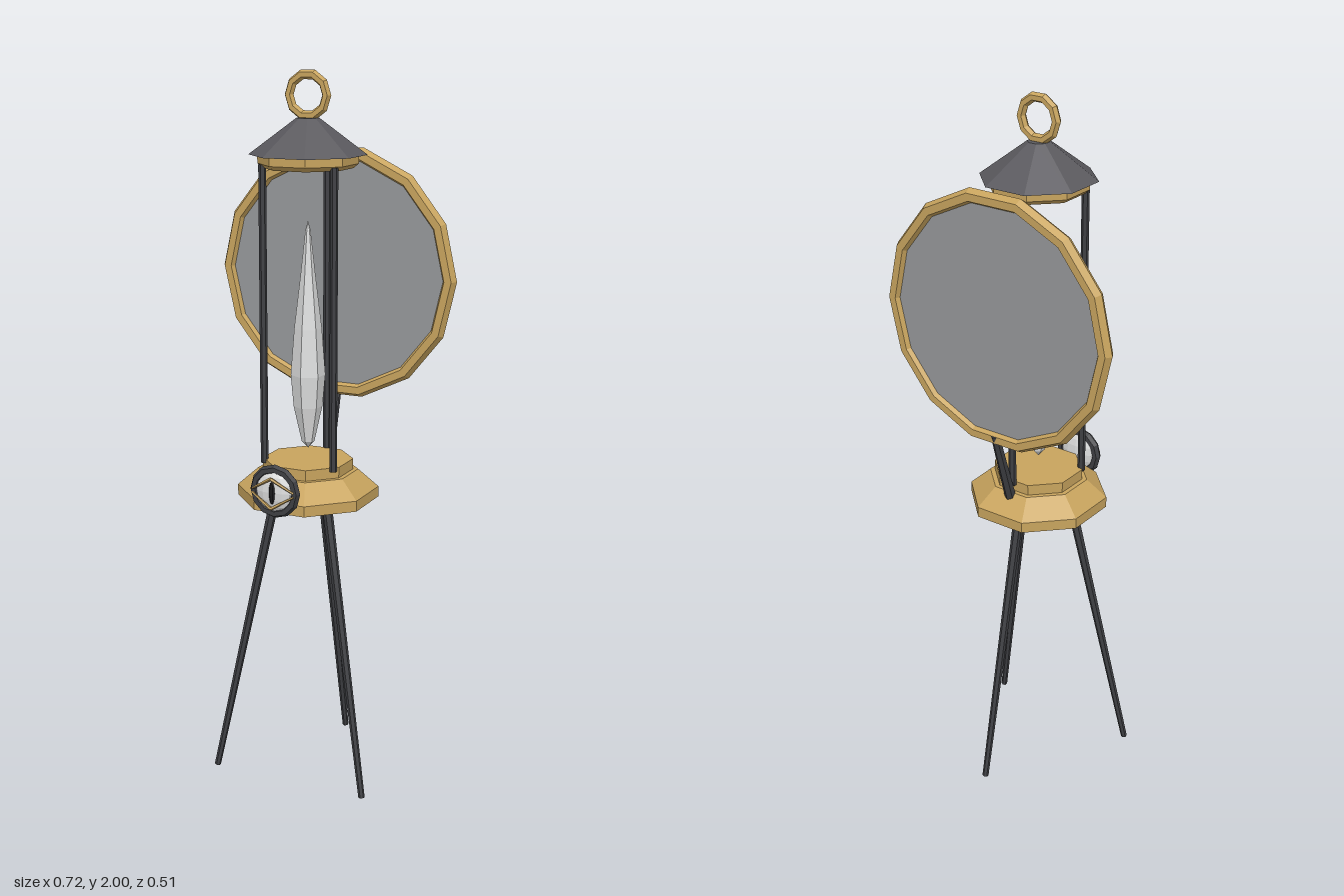
import * as THREE from 'three';

const mat = (name, color) => {
  const m = new THREE.MeshStandardMaterial({ color, flatShading: true });
  m.name = name;
  return m;
};

export function createModel() {
  const model = new THREE.Group();
  const brass = mat('brass', 0xc8a45e);
  const iron = mat('darkIron', 0x3e3f43);
  const slate = mat('slateRoof', 0x5b5a5f);
  const glass = mat('mirrorGrey', 0x96989a);
  const pale = mat('paleFlame', 0xdcdddd);
  const black = mat('pupilBlack', 0x1b1b1d);

  const AXIS = 0.018; // z of the lantern's centre line
  const V = (x, y, z) => new THREE.Vector3(x, y, z);

  const add = (name, geo, material, x = 0, y = 0, z = 0) => {
    const m = new THREE.Mesh(geo, material);
    m.name = name;
    m.position.set(x, y, z);
    model.add(m);
    return m;
  };

  // Lathe with flat sides facing the axes
  const octagon = (name, profile, material) => {
    const k = 1 / Math.cos(Math.PI / 8);
    const pts = profile.map(([r, y]) => new THREE.Vector2(r * k, y));
    const geo = new THREE.LatheGeometry(pts, 8);
    geo.rotateY(Math.PI / 8);
    return add(name, geo, material, 0, 0, AXIS);
  };

  // Straight rod between two points
  const rod = (name, a, b, rBottom, rTop, material, sides = 6) => {
    const dir = b.clone().sub(a);
    const m = add(name, new THREE.CylinderGeometry(rTop, rBottom, dir.length(), sides), material);
    m.position.copy(a).addScaledVector(dir, 0.5);
    m.quaternion.setFromUnitVectors(V(0, 1, 0), dir.normalize());
    return m;
  };

  // Base, collar and roof
  octagon('base', [[0, 0.83], [0.183, 0.83], [0.183, 0.86], [0.13, 0.91], [0, 0.91]], brass);
  octagon('plinth', [[0, 0.9], [0.117, 0.9], [0.117, 0.94], [0, 0.94]], brass);
  octagon('collar', [[0, 1.745], [0.112, 1.745], [0.125, 1.757], [0.125, 1.778], [0, 1.778]], brass);
  octagon('roof', [[0, 1.78], [0.147, 1.78], [0.028, 1.876], [0, 1.876]], slate);

  // Carrying ring
  add('carryingRing', new THREE.TorusGeometry(0.055, 0.013, 6, 10), brass, 0, 1.935, AXIS);

  // Three posts and three splayed legs
  for (let i = 0; i < 3; i++) {
    const a = Math.PI + (i * Math.PI * 2) / 3;
    const at = (r, y) => V(Math.sin(a) * r, y, AXIS + Math.cos(a) * r);
    rod('post', at(0.122, 0.93), at(0.122, 1.755), 0.0105, 0.0105, iron);
    rod('leg', at(0.268, 0.003), at(0.088, 0.85), 0.009, 0.014, iron);
  }

  // Flame
  const flame = [[0, 0.97], [0.018, 0.99], [0.04, 1.09], [0.048, 1.18], [0.038, 1.31], [0.02, 1.46], [0.007, 1.58], [0, 1.605]];
  add('flame', new THREE.LatheGeometry(flame.map(([r, y]) => new THREE.Vector2(r, y)), 6), pale, 0, 0, AXIS);

  // Round reflector with brass rim and strut
  add('reflectorRim', new THREE.TorusGeometry(0.34, 0.021, 6, 14), brass, 0, 1.435, -0.169);
  const disc = new THREE.CylinderGeometry(0.338, 0.338, 0.012, 14);
  disc.rotateX(Math.PI / 2);
  add('reflectorDisc', disc, glass, 0, 1.435, -0.169);
  rod('reflectorStrut', V(0, 0.89, -0.112), V(0, 1.115, -0.181), 0.016, 0.012, iron);

  // Eye-shaped dial at the front
  add('eyeRing', new THREE.TorusGeometry(0.062, 0.013, 6, 12), iron, 0, 0.9, 0.222);
  const ball = new THREE.SphereGeometry(0.058, 12, 8);
  ball.scale(1, 1, 0.36);
  add('eyeball', ball, pale, 0, 0.9, 0.222);
  const slit = new THREE.SphereGeometry(1, 6, 6);
  slit.scale(0.009, 0.032, 0.005);
  add('pupil', slit, black, 0, 0.9, 0.242);

  // Thin brass lids, mirrored above and below
  for (const s of [1, -1]) {
    const peak = V(0, 0.9 + s * 0.042, 0.25);
    for (const x of [-0.062, 0.062]) {
      rod('eyelid', V(x, 0.9 + s * 0.005, 0.238), peak, 0.003, 0.005, brass, 5);
    }
  }
  return model;
}
